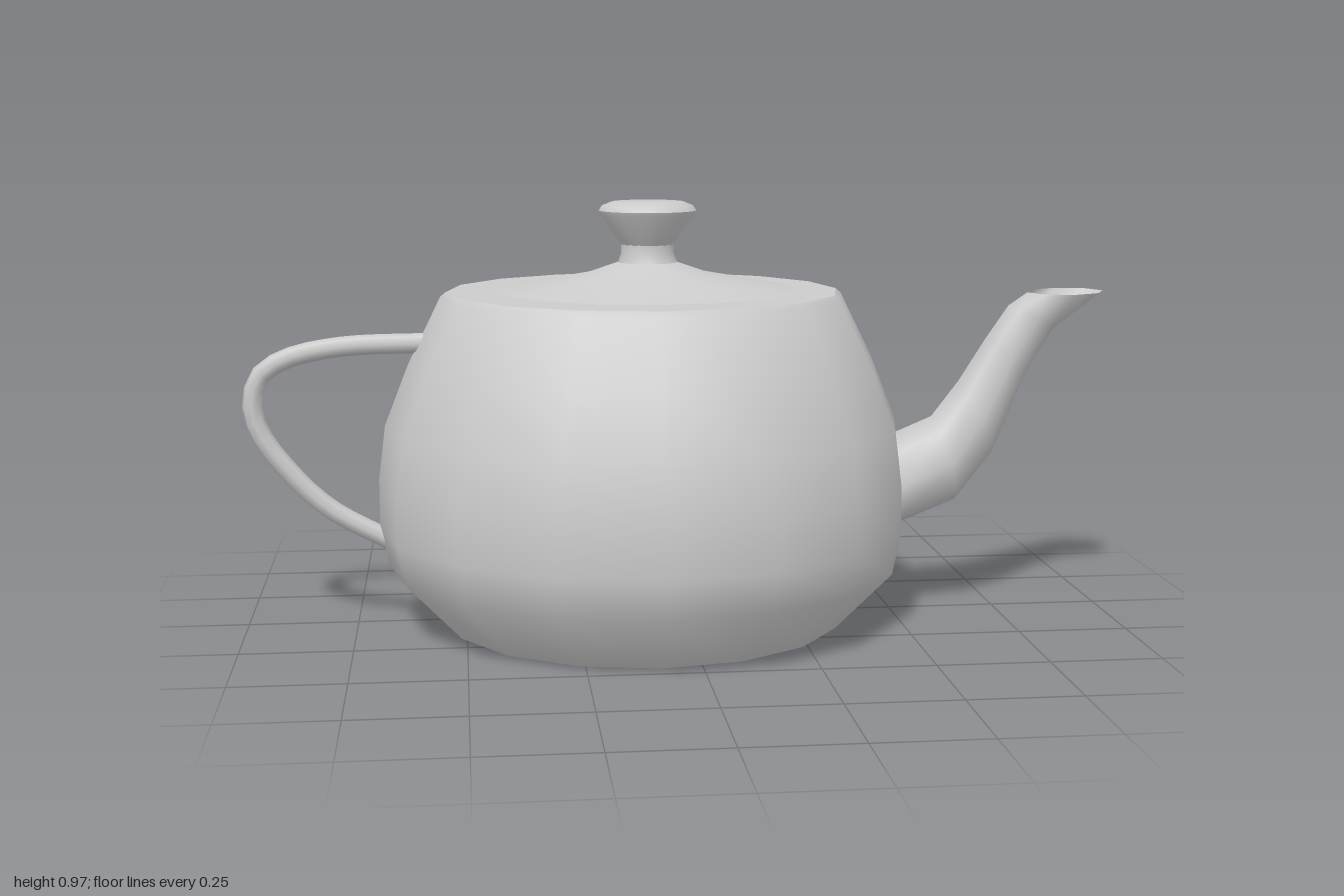
import * as THREE from 'three';
import { toCreasedNormals } from 'three/addons/utils/BufferGeometryUtils.js';

const material = new THREE.MeshStandardMaterial({ color: 0xcccccc });
const openMaterial = new THREE.MeshStandardMaterial({ color: 0xcccccc, side: THREE.DoubleSide });

// Turned part from [radius, height] pairs, listed bottom to top
function turned(name, profile, sides, x) {
  const points = profile.map(([r, y]) => new THREE.Vector2(r, y));
  const geometry = toCreasedNormals(new THREE.LatheGeometry(points, sides), 0.7);
  const mesh = new THREE.Mesh(geometry, material);
  mesh.name = name;
  mesh.position.x = x;
  return mesh;
}

// Tapered tube skinned over rings: [upper x, upper y, lower x, lower y, half width]
function skinned(name, sections, sides) {
  const positions = [];
  const index = [];
  sections.forEach(([ux, uy, lx, ly, w], i) => {
    for (let j = 0; j < sides; j++) {
      const a = (j / sides) * Math.PI * 2;
      const c = Math.cos(a) / 2;
      positions.push((ux + lx) / 2 + (ux - lx) * c, (uy + ly) / 2 + (uy - ly) * c, w * Math.sin(a));
      if (i === sections.length - 1) continue;
      const p = i * sides + j;
      const q = i * sides + ((j + 1) % sides);
      index.push(p, q, p + sides, q, q + sides, p + sides);
    }
  });
  const geometry = new THREE.BufferGeometry();
  geometry.setAttribute('position', new THREE.Float32BufferAttribute(positions, 3));
  geometry.setIndex(index);
  geometry.computeVertexNormals();
  const mesh = new THREE.Mesh(geometry, openMaterial);
  mesh.name = name;
  return mesh;
}

export function createModel() {
  const group = new THREE.Group();
  group.name = 'teapot';

  // Pot with flat base, chamfered rim and flat shoulder
  group.add(turned('body', [
    [0, 0], [0.46, 0], [0.59, 0.135], [0.609, 0.225], [0.609, 0.335],
    [0.593, 0.46], [0.538, 0.6], [0.462, 0.755], [0.45, 0.765], [0, 0.765],
  ], 16, -0.087));

  // Shallow lid rising into the neck
  group.add(turned('lid', [
    [0.345, 0.767], [0.14, 0.805], [0.068, 0.83], [0.061, 0.85], [0.061, 0.872],
  ], 16, -0.075));

  // Flared knob
  group.add(turned('knob', [
    [0.06, 0.87], [0.107, 0.937], [0.112, 0.948], [0.105, 0.959], [0.082, 0.968], [0, 0.968],
  ], 20, -0.075));

  // Curved spout with an open, forward-reaching mouth
  group.add(skinned('spout', [
    [0.5, 0.42, 0.505, 0.2, 0.105],
    [0.595, 0.46, 0.655, 0.26, 0.1],
    [0.66, 0.545, 0.745, 0.375, 0.075],
    [0.72, 0.64, 0.815, 0.55, 0.062],
    [0.775, 0.72, 0.885, 0.665, 0.058],
    [0.82, 0.75, 1.0, 0.753, 0.085],
  ], 8));

  // Looped handle
  const path = new THREE.CatmullRomCurve3([
    [-0.575, 0.65], [-0.78, 0.643], [-0.9, 0.617], [-0.957, 0.58], [-0.977, 0.52],
    [-0.965, 0.455], [-0.905, 0.365], [-0.81, 0.27], [-0.66, 0.185],
  ].map(([x, y]) => new THREE.Vector3(x, y, 0)));
  const handle = new THREE.Mesh(new THREE.TubeGeometry(path, 24, 0.023, 8), openMaterial);
  handle.name = 'handle';
  group.add(handle);

  return group;
}
